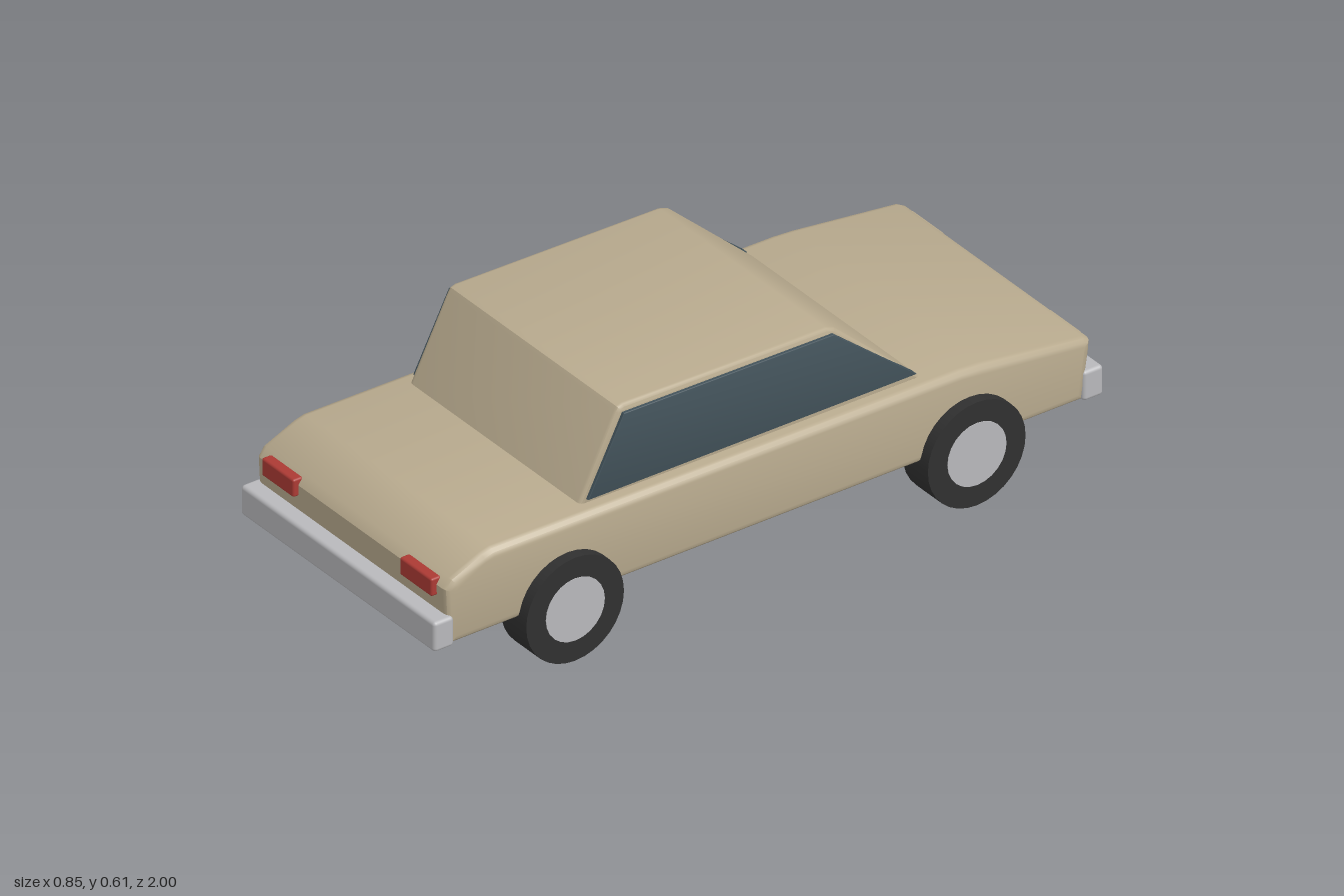
import * as THREE from 'three';
import { toCreasedNormals } from 'three/addons/utils/BufferGeometryUtils.js';
import { RoundedBoxGeometry } from 'three/addons/geometries/RoundedBoxGeometry.js';

const material = (name, color) => {
  const m = new THREE.MeshStandardMaterial({ color });
  m.name = name;
  return m;
};

// Extrudes a [z, y] side profile across x, centred, with rounded edges inside the outline
function sideProfile(points, width, bevel) {
  const shape = new THREE.Shape(points.map(([z, y]) => new THREE.Vector2(z, y)));
  const geo = new THREE.ExtrudeGeometry(shape, {
    depth: width - 2 * bevel, bevelEnabled: true, bevelSize: bevel,
    bevelThickness: bevel, bevelOffset: -bevel, bevelSegments: 3,
  });
  geo.translate(0, 0, -(width - 2 * bevel) / 2);
  geo.rotateY(-Math.PI / 2);
  return toCreasedNormals(geo, 0.6);
}

export function createModel() {
  const paint = material('beige paint', 0xb8aa8e);
  const glass = material('dark glass', 0x42525a);
  const rubber = material('black rubber', 0x303030);
  const metal = material('light metal', 0xb8b8bb);
  const red = material('red lens', 0xab3a34);

  const car = new THREE.Group();
  car.name = 'car';
  const add = (name, geo, mat, x = 0, y = 0, z = 0, parent = car) => {
    const mesh = new THREE.Mesh(geo, mat);
    mesh.name = name;
    mesh.position.set(x, y, z);
    parent.add(mesh);
    return mesh;
  };

  // Lower body with sloping ends
  add('body', sideProfile([
    [-0.945, 0.155], [0.95, 0.155], [0.958, 0.31], [0.94, 0.335], [0.85, 0.374], [0.82, 0.382],
    [-0.58, 0.37], [-0.64, 0.366], [-0.95, 0.328], [-0.968, 0.318], [-0.966, 0.29],
  ], 0.784, 0.022), paint);

  // Cabin
  add('cabin', sideProfile([
    [-0.492, 0.365], [0.537, 0.365], [0.42, 0.6], [0.413, 0.61], [0.398, 0.615],
    [-0.21, 0.606], [-0.235, 0.598],
  ], 0.696, 0.014), paint);

  // Side windows, bumpers, lamps and wheels
  const windowGeo = sideProfile(
    [[-0.47, 0.388], [0.512, 0.39], [0.405, 0.597], [-0.223, 0.59]], 0.024, 0.002);
  const bumperGeo = new RoundedBoxGeometry(0.79, 0.084, 0.06, 3, 0.01);
  const lampGeo = new RoundedBoxGeometry(0.13, 0.05, 0.03, 3, 0.006);
  const tyreGeo = new THREE.CylinderGeometry(0.146, 0.146, 0.104, 32).rotateZ(Math.PI / 2);
  const hubGeo = new THREE.CylinderGeometry(0.088, 0.088, 0.107, 24).rotateZ(Math.PI / 2);

  for (const [end, s] of [['front', 1], ['rear', -1]]) {
    add(end + 'Bumper', bumperGeo, metal, 0, 0.196, s * 0.97);
    for (const [side, m] of [['Left', 1], ['Right', -1]]) {
      const wheel = new THREE.Group();
      wheel.name = end + side + 'Wheel';
      wheel.position.set(m * 0.371, 0.147, s * 0.6);
      add('tyre', tyreGeo, rubber, 0, 0, 0, wheel);
      add('hub', hubGeo, metal, 0, 0, 0, wheel);
      car.add(wheel);
    }
  }

  for (const [side, m] of [['left', 1], ['right', -1]]) {
    add(side + 'Window', windowGeo, glass, m * 0.345);
    add(side + 'FrontLamp', lampGeo, red, m * 0.281, 0.304, 0.958);
    add(side + 'RearLamp', lampGeo, paint, m * 0.28, 0.294, -0.957);
  }
  return car;
}
